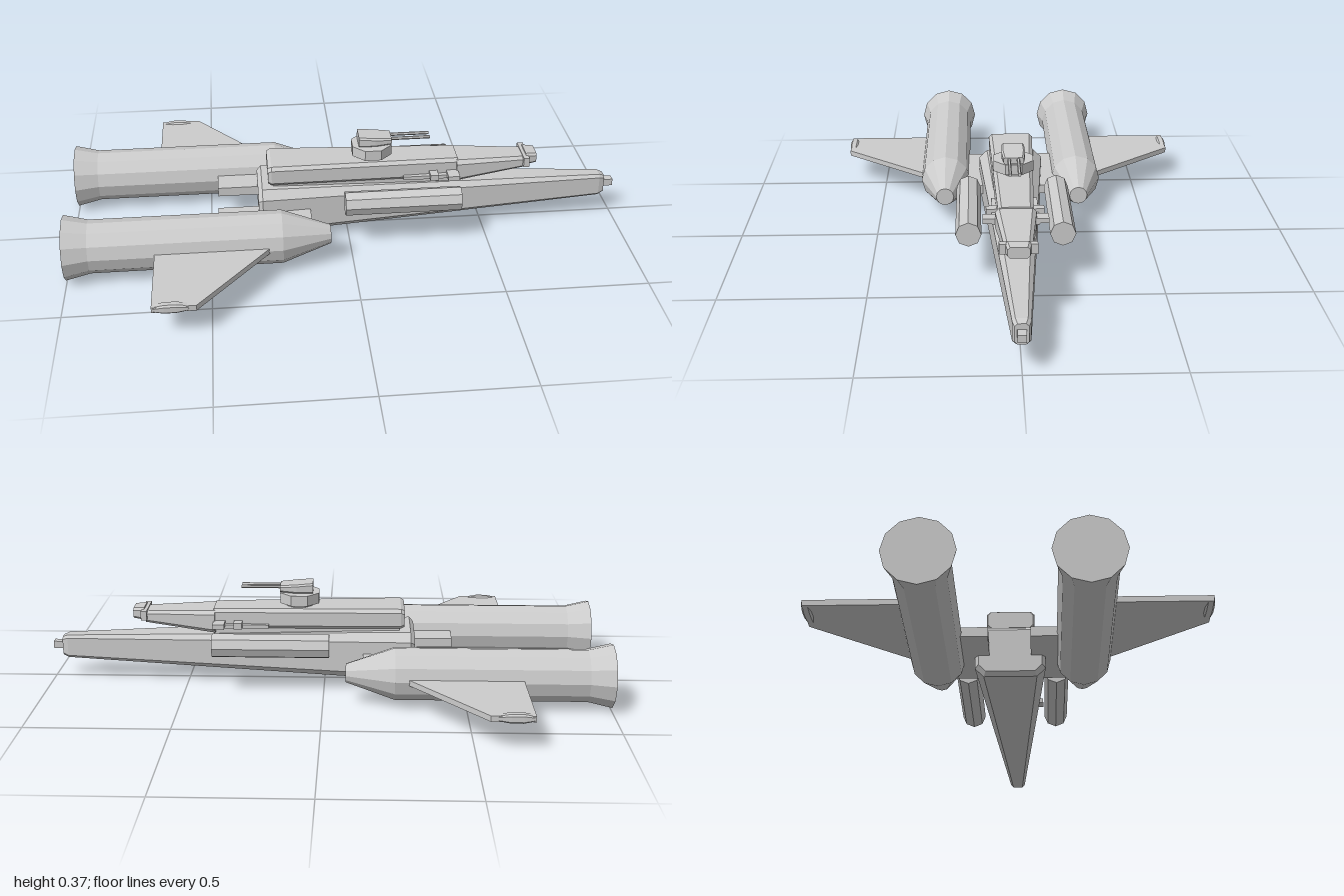
import * as THREE from 'three';

const mat = new THREE.MeshStandardMaterial({ color: 0xcccccc, flatShading: true });

// Chamfered hull lofted along x; each section is [x, halfWidth, yBottom, yTop, chamfer]
function loft(sections) {
  const pos = [];
  const rings = sections.map(([x, w, y0, y1, c]) => [
    [y1, -w + c], [y1, w - c], [y1 - c, w], [y0 + c, w],
    [y0, w - c], [y0, -w + c], [y0 + c, -w], [y1 - c, -w],
  ].map(([y, z]) => [x, y, z]));
  const tri = (a, b, c) => pos.push(...a, ...b, ...c);
  for (let i = 0; i < rings.length - 1; i++) {
    for (let j = 0; j < 8; j++) {
      const k = (j + 1) % 8;
      const [a, b, c, d] = [rings[i][j], rings[i][k], rings[i + 1][k], rings[i + 1][j]];
      tri(a, b, c);
      tri(a, c, d);
    }
  }
  const back = rings[0], front = rings[rings.length - 1];
  for (let j = 1; j < 7; j++) {
    tri(back[0], back[j + 1], back[j]);
    tri(front[0], front[j], front[j + 1]);
  }
  const g = new THREE.BufferGeometry();
  g.setAttribute('position', new THREE.Float32BufferAttribute(pos, 3));
  g.computeVertexNormals();
  return g;
}

// Box given by its extents
function box(x0, x1, y0, y1, z0, z1) {
  return new THREE.BoxGeometry(x1 - x0, y1 - y0, Math.abs(z1 - z0))
    .translate((x0 + x1) / 2, (y0 + y1) / 2, (z0 + z1) / 2);
}

// Cylinder lying along x
function rod(x0, x1, r, y, z, sides) {
  return new THREE.CylinderGeometry(r, r, x1 - x0, sides)
    .rotateZ(-Math.PI / 2).translate((x0 + x1) / 2, y, z);
}

export function createModel() {
  const root = new THREE.Group();
  const add = (name, geometry, parent = root) => {
    const m = new THREE.Mesh(geometry, mat);
    m.name = name;
    parent.add(m);
    return m;
  };

  // Main hull and nose
  add('hull', loft([
    [-0.325, 0.108, 0.04, 0.195, 0.025],
    [-0.31, 0.12, 0.026, 0.21, 0.03],
    [0.945, 0.029, 0.077, 0.163, 0.01],
    [0.965, 0.022, 0.085, 0.155, 0.009],
  ]));
  add('noseTip', box(0.96, 1, 0.11, 0.136, -0.014, 0.014));

  // Upper deck
  add('deckBase', loft([
    [-0.27, 0.065, 0.18, 0.225, 0.004],
    [0.4, 0.045, 0.17, 0.225, 0.004],
  ]));
  add('deck', loft([
    [-0.288, 0.078, 0.222, 0.283, 0.012],
    [-0.275, 0.083, 0.217, 0.29, 0.012],
    [0.4, 0.06, 0.205, 0.28, 0.012],
  ]));
  add('frontDeck', loft([
    [0.395, 0.07, 0.19, 0.275, 0.014],
    [0.65, 0.045, 0.222, 0.266, 0.01],
  ]));
  add('deckCrossbar', box(0.643, 0.664, 0.235, 0.27, -0.062, 0.062));
  add('deckTip', loft([
    [0.655, 0.042, 0.23, 0.276, 0.008],
    [0.695, 0.036, 0.235, 0.273, 0.008],
  ]));

  // Gun turret
  const turret = new THREE.Group();
  turret.name = 'turret';
  root.add(turret);
  add('turretNeck', new THREE.CylinderGeometry(0.05, 0.05, 0.03, 8)
    .rotateY(Math.PI / 8).translate(0.09, 0.288, 0), turret);
  add('turretBase', new THREE.CylinderGeometry(0.076, 0.076, 0.038, 8)
    .rotateY(Math.PI / 8).translate(0.09, 0.316, 0), turret);
  add('turretHead', loft([
    [0.042, 0.04, 0.334, 0.372, 0.006],
    [0.1, 0.042, 0.334, 0.367, 0.006],
    [0.16, 0.036, 0.338, 0.362, 0.006],
  ]), turret);

  for (const s of [1, -1]) {
    const side = new THREE.Group();
    side.name = s > 0 ? 'leftSide' : 'rightSide';
    root.add(side);

    add('gunBarrel', rod(0.15, 0.3, 0.006, 0.354, s * 0.016, 6), turret);

    // Engine with flared exhaust and tapered nose
    const profile = [[0, -1], [0.113, -1], [0.093, -0.915], [0.093, -0.25], [0.033, -0.08], [0, -0.08]];
    add('engine', new THREE.LatheGeometry(profile.map(p => new THREE.Vector2(...p)), 12)
      .rotateZ(-Math.PI / 2).translate(0, 0.113, s * 0.25), side);

    // Pylon joining engine and hull
    add('pylon', box(-0.47, -0.14, 0.098, 0.132, s * 0.07, s * 0.22), side);

    // Swept fin with a small pod at its tip
    const outline = [[-0.69, 0.3], [-0.265, 0.3], [-0.545, 0.645], [-0.69, 0.645]];
    const shape = new THREE.Shape(outline.map(([x, z]) => new THREE.Vector2(x, s * z)));
    add('fin', new THREE.ExtrudeGeometry(shape, { depth: 0.02, bevelEnabled: false })
      .rotateX(Math.PI / 2).translate(0, 0.122, 0), side);
    add('finTipPod', loft([
      [-0.685, 0.012, 0.103, 0.121, 0.004],
      [-0.65, 0.015, 0.096, 0.128, 0.006],
      [-0.61, 0.015, 0.096, 0.128, 0.006],
      [-0.57, 0.012, 0.103, 0.121, 0.004],
    ]).translate(0, 0, s * 0.635), side);

    // Launcher tube beside the hull
    add('launcherTube', rod(-0.02, 0.395, 0.044, 0.178, s * 0.16, 8), side);

    // Small fittings along the deck
    add('deckFitting', box(0.295, 0.325, 0.218, 0.24, s * 0.04, s * 0.1), side);
    add('deckFitting', box(0.358, 0.4, 0.22, 0.238, s * 0.04, s * 0.112), side);
    add('deckRail', box(0.2, 0.4, 0.215, 0.228, s * 0.05, s * 0.08), side);
  }
  return root;
}
